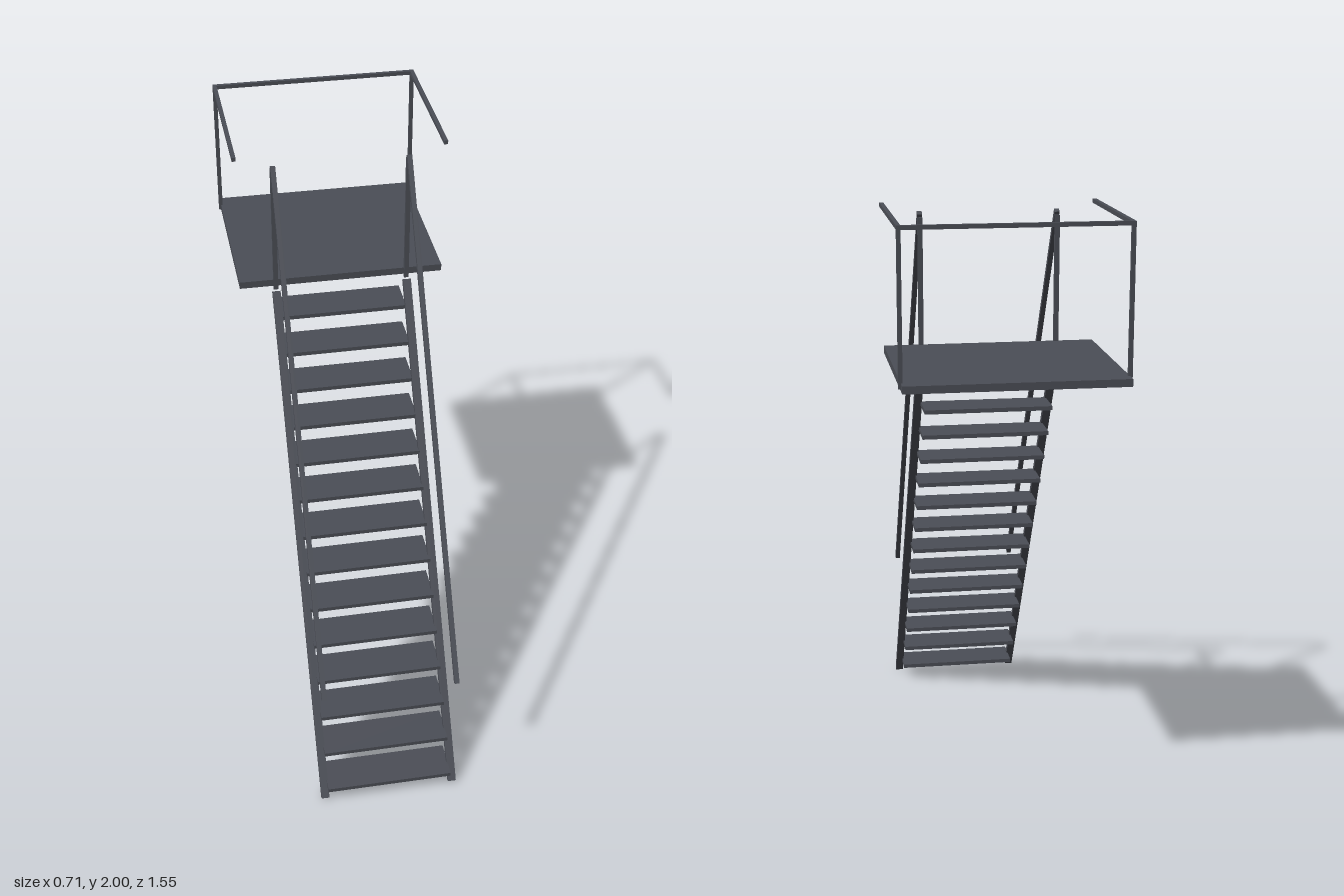
import * as THREE from 'three';

export function createModel() {
  const model = new THREE.Group();
  model.name = 'stairWithLanding';
  const steel = new THREE.MeshStandardMaterial({ color: 0x4b4e56 });

  // Axis-aligned block given by its size and centre
  function block(name, size, pos) {
    const mesh = new THREE.Mesh(new THREE.BoxGeometry(...size), steel);
    mesh.name = name;
    mesh.position.set(...pos);
    model.add(mesh);
    return mesh;
  }

  // Sloping bar in the yz plane, from (y0, z0) up to (y1, z1)
  function slopedBar(name, x, width, depth, [y0, z0], [y1, z1]) {
    const length = Math.hypot(y1 - y0, z1 - z0);
    const bar = block(name, [width, length, depth], [x, (y0 + y1) / 2, (z0 + z1) / 2]);
    bar.rotation.x = Math.atan2(z1 - z0, y1 - y0);
  }

  // Landing platform
  block('platform', [0.692, 0.024, 0.595], [0, 1.524, -0.4775]);

  // Open treads
  const treadCount = 14;
  for (let i = 0; i < treadCount; i++) {
    block('tread' + (i + 1), [0.43, 0.014, 0.13], [0, 0.056 + i * 0.1043, 0.71 - i * 0.0694]);
  }

  for (const [side, s] of [['left', 1], ['right', -1]]) {
    // Stair stringer, handrail and the post at its top
    slopedBar(side + 'Stringer', s * 0.224, 0.027, 0.018, [0.005, 0.757], [1.495, -0.172]);
    slopedBar(side + 'Handrail', s * 0.224, 0.016, 0.016, [0.483, 0.758], [1.964, -0.172]);
    block(side + 'HandrailPost', [0.016, 0.45, 0.012], [s * 0.224, 1.725, -0.181]);

    // Landing side rail and back corner post
    block(side + 'LandingRail', [0.013, 0.013, 0.555], [s * 0.347, 1.9935, -0.4575]);
    block(side + 'LandingPost', [0.013, 0.475, 0.013], [s * 0.347, 1.7555, -0.7285]);
  }

  // Rail across the back of the landing
  block('backLandingRail', [0.694, 0.013, 0.013], [0, 1.9935, -0.7285]);

  return model;
}
